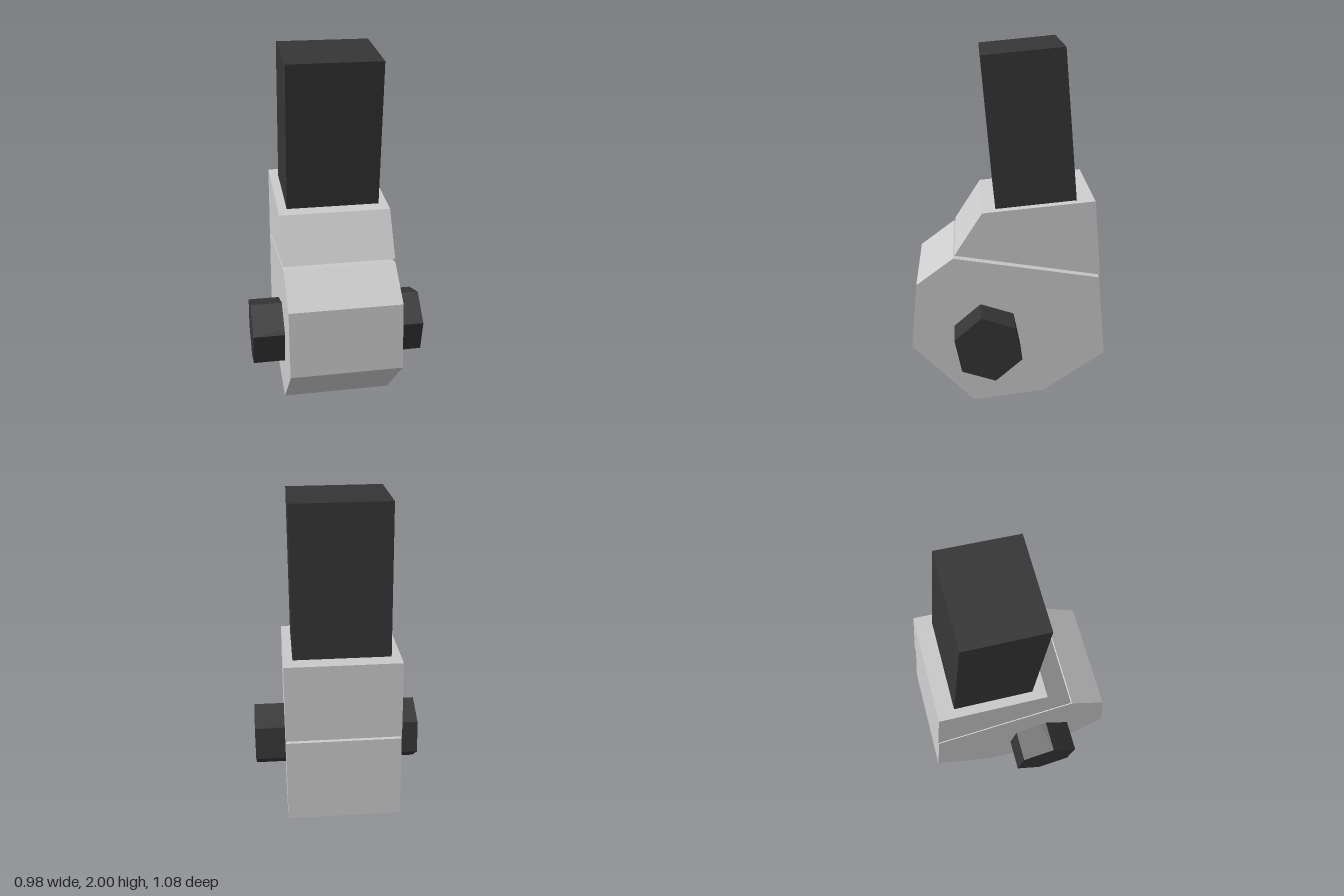
import * as THREE from 'three';

const grey = new THREE.MeshStandardMaterial({ color: 0xcccccc, flatShading: true });
const dark = new THREE.MeshStandardMaterial({ color: 0x353535, flatShading: true });

// Side outline given as [z, y] points, extruded across x and centred
function slab(name, outline, width, material) {
  const shape = new THREE.Shape(outline.map(([z, y]) => new THREE.Vector2(-z, y)));
  const geometry = new THREE.ExtrudeGeometry(shape, { depth: width, bevelEnabled: false });
  geometry.translate(0, 0, -width / 2).rotateY(Math.PI / 2);
  const mesh = new THREE.Mesh(geometry, material);
  mesh.name = name;
  return mesh;
}

export function createModel() {
  const group = new THREE.Group();
  group.name = 'jointedArm';

  // Faceted lower housing
  group.add(slab('lowerHousing', [
    [0.305, 0.882], [0.507, 0.73], [0.543, 0.355], [0.2, 0.003],
    [-0.2, 0.055], [-0.54, 0.29], [-0.495, 0.755],
  ], 0.62, grey));

  // Tapered collar above the slanted gap
  group.add(slab('upperCollar', [
    [0.296, 0.9], [0.145, 1.138], [-0.46, 1.196], [-0.5, 0.772],
  ], 0.62, grey));

  // Leaning square post, sunk slightly into the collar
  group.add(slab('post', [
    [0.145, 1.96], [-0.29, 2], [-0.374, 1.1], [0.064, 1.06],
  ], 0.52, dark));

  // Swivel pin bridging the gap, square to its slope
  const pin = new THREE.Mesh(new THREE.CylinderGeometry(0.213, 0.213, 0.12, 24), dark);
  pin.name = 'swivelPin';
  pin.position.set(0, 0.83, -0.08);
  pin.rotation.x = -Math.atan2(0.128, 0.798);
  group.add(pin);

  // Hexagonal axle through the lower housing
  const hexagon = [];
  for (let i = 0; i < 6; i++) {
    const a = THREE.MathUtils.degToRad(78.5 + i * 60);
    hexagon.push([0.12 + 0.193 * Math.cos(a), 0.419 + 0.193 * Math.sin(a)]);
  }
  group.add(slab('hexAxle', hexagon, 0.976, dark));

  return group;
}
